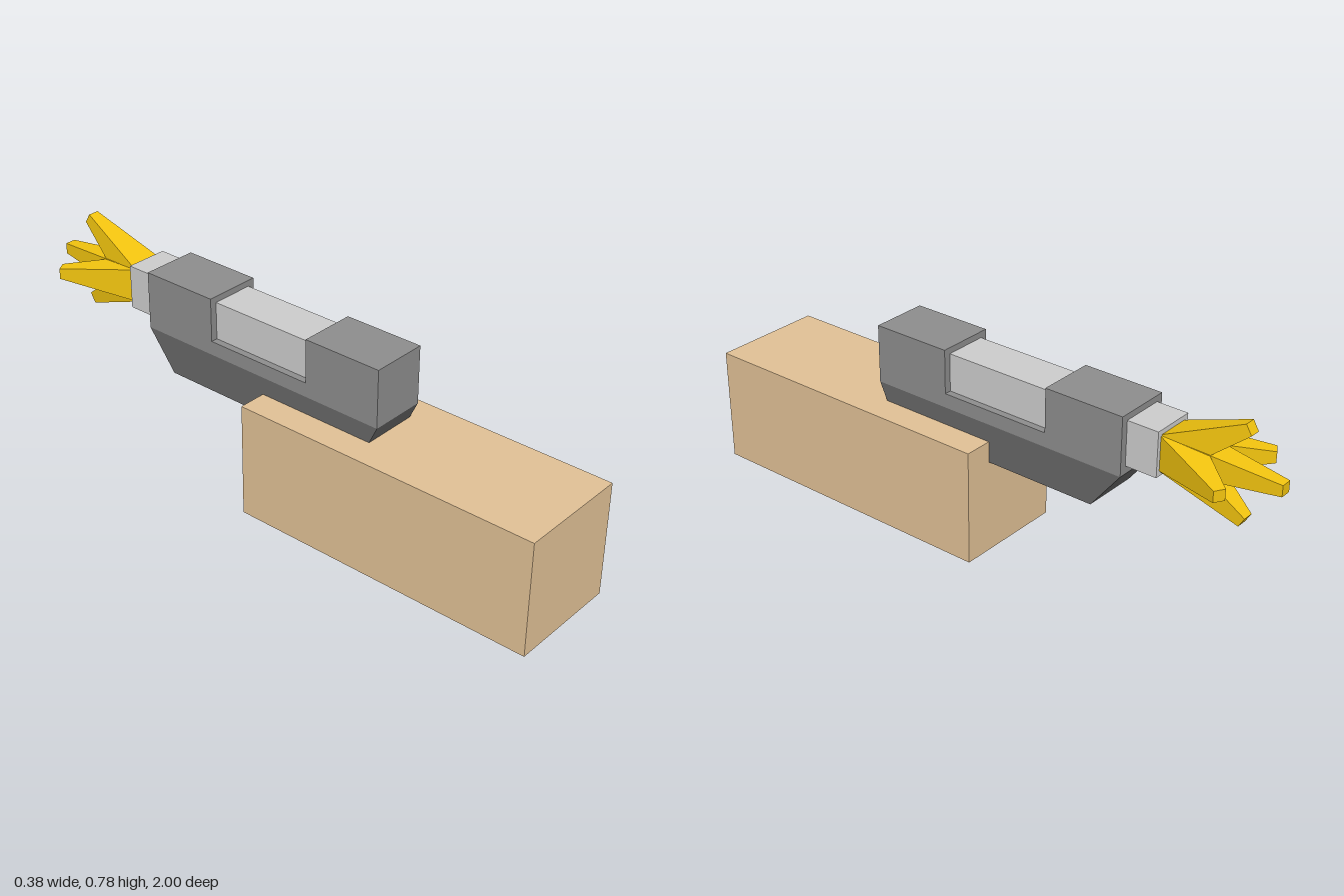
import * as THREE from 'three';

const mat = (color) => new THREE.MeshStandardMaterial({ color, flatShading: true });
const CY = 0.616; // height of the barrel axis

function add(parent, name, geometry, material) {
  const mesh = new THREE.Mesh(geometry, material);
  mesh.name = name;
  parent.add(mesh);
  return mesh;
}

// Box from its limits in x (symmetric), y and z
function box(halfX, y0, y1, z0, z1) {
  return new THREE.BoxGeometry(halfX * 2, y1 - y0, z1 - z0)
    .translate(0, (y0 + y1) / 2, (z0 + z1) / 2);
}

// Side profile of [z, y] points, extruded across x
function slab(points, width) {
  const shape = new THREE.Shape(points.map(([z, y]) => new THREE.Vector2(-z, y)));
  return new THREE.ExtrudeGeometry(shape, { depth: width, bevelEnabled: false })
    .translate(0, 0, -width / 2)
    .rotateY(Math.PI / 2);
}

// Square tapered spike pointing along -z, base at the origin
function spike(baseHalf, tipHalf, length) {
  return new THREE.CylinderGeometry(tipHalf * Math.SQRT2, baseHalf * Math.SQRT2, length, 4)
    .rotateY(Math.PI / 4)
    .translate(0, length / 2, 0)
    .rotateX(-Math.PI / 2);
}

export function createModel() {
  const model = new THREE.Group();
  model.name = 'blasterArm';
  const skin = mat(0xe0c095);
  const body = mat(0x8c8c8c);
  const dark = mat(0x666666);
  const light = mat(0xc6c6c6);
  const gold = mat(0xf2c40f);

  // Arm holding the grip
  add(model, 'arm', box(0.19, 0.078, 0.46, -0.05, 1), skin);

  // Upper body with a notch that exposes the barrel
  add(model, 'upperBody', slab([
    [0.39, 0.518], [-0.53, 0.518], [-0.53, 0.71], [-0.26, 0.71],
    [-0.26, 0.565], [0.12, 0.565], [0.12, 0.71], [0.39, 0.71],
  ], 0.19), body);

  // Lower body and slanted grip running down through the arm
  add(model, 'lowerBodyAndGrip', slab([
    [0.39, 0.518], [0.33, 0.39], [0.43, 0], [0.14, 0],
    [0.045, 0.39], [-0.43, 0.39], [-0.53, 0.518],
  ], 0.19), dark);

  // Barrel
  add(model, 'barrel', box(0.072, 0.544, 0.69, -0.635, 0.2), light);

  // Muzzle flash: a straight spike and four splayed ones
  const flash = new THREE.Group();
  flash.name = 'muzzleFlash';
  flash.position.set(0, CY, 0);
  model.add(flash);
  add(flash, 'centreSpike', spike(0.055, 0.018, 0.365).translate(0, 0, -0.635), gold);
  for (let i = 0; i < 4; i++) {
    const geometry = spike(0.055, 0.018, 0.257)
      .rotateX(THREE.MathUtils.degToRad(31))
      .translate(0, 0.012, -0.6635)
      .rotateZ(i * Math.PI / 2);
    add(flash, 'splayedSpike', geometry, gold);
  }
  return model;
}
